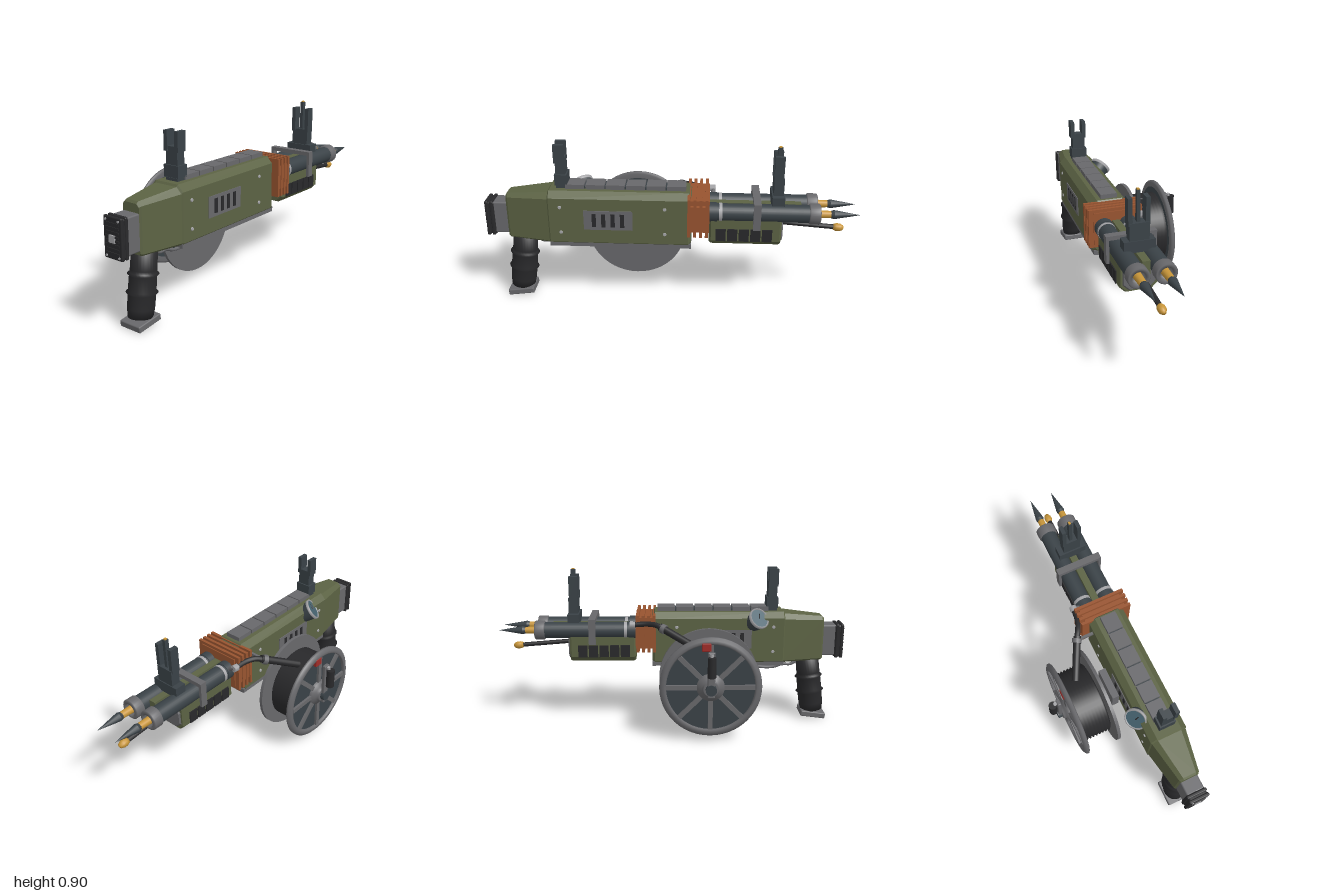
import * as THREE from 'three';
import { RoundedBoxGeometry } from 'three/addons/geometries/RoundedBoxGeometry.js';

const GREEN = 0x5c6344, DARK = 0x3a4247, GREY = 0x68686b, BLACK = 0x29292b, COPPER = 0x985430,
  GOLD = 0xc8963a, LIGHT = 0xa5a5a8, GLASS = 0x44606c, RED = 0xa02c28;
const CX = 0.17; // centre line of the gun
const V = (x, y, z) => new THREE.Vector3(x, y, z);

export function createModel() {
  const model = new THREE.Group();
  const mats = {};
  const mat = (color, flat = false) => {
    const key = color + (flat ? 'f' : 's');
    return (mats[key] ??= new THREE.MeshStandardMaterial({ color, flatShading: flat, side: THREE.DoubleSide }));
  };
  const add = (name, geo, color, parent = model, flat = false) => {
    const m = new THREE.Mesh(geo, mat(color, flat));
    m.name = name;
    parent.add(m);
    return m;
  };
  // box given by its ranges
  const box = (name, color, x0, x1, y0, y1, z0, z1, round = 0, parent = model) => {
    const w = x1 - x0, h = y1 - y0, d = z1 - z0;
    const g = round ? new RoundedBoxGeometry(w, h, d, 2, round) : new THREE.BoxGeometry(w, h, d);
    const m = add(name, g, color, parent);
    m.position.set((x0 + x1) / 2, (y0 + y1) / 2, (z0 + z1) / 2);
    return m;
  };
  // cylinder or cone between two points
  const rod = (name, color, a, b, ra, rb = ra, sides = 24, parent = model) => {
    const dir = b.clone().sub(a);
    const m = add(name, new THREE.CylinderGeometry(rb, ra, dir.length(), sides), color, parent);
    m.position.copy(a).lerp(b, 0.5);
    m.quaternion.setFromUnitVectors(V(0, 1, 0), dir.normalize());
    return m;
  };
  // lathe with its axis from a towards b; profile is [radius, distance]
  const turned = (name, color, a, b, profile, parent = model, sides = 28, flat = false) => {
    const m = add(name, new THREE.LatheGeometry(profile.map(p => new THREE.Vector2(...p)), sides), color, parent, flat);
    m.position.copy(a);
    m.quaternion.setFromUnitVectors(V(0, 1, 0), b.clone().sub(a).normalize());
    return m;
  };
  // chamfered sections [z, halfWidth, y0, y1, bottomChamfer, topChamfer], from high z to low z
  const loft = (name, color, sections) => {
    const rings = sections.map(([z, w, a, b, c, t]) =>
      [[-w + c, a], [w - c, a], [w, a + c], [w, b - t], [w - t, b], [t - w, b], [-w, b - t], [-w, a + c]]
        .map(([x, y]) => [CX + x, y, z]));
    const p = [];
    for (let i = 0; i + 1 < rings.length; i++) for (let j = 0; j < 8; j++) {
      const k = (j + 1) % 8, A = rings[i], B = rings[i + 1];
      p.push(...A[j], ...B[j], ...B[k], ...A[j], ...B[k], ...A[k]);
    }
    const last = rings[rings.length - 1];
    for (let j = 1; j < 7; j++) {
      p.push(...rings[0][0], ...rings[0][j], ...rings[0][j + 1]);
      p.push(...last[0], ...last[j + 1], ...last[j]);
    }
    const g = new THREE.BufferGeometry();
    g.setAttribute('position', new THREE.Float32BufferAttribute(p, 3));
    g.computeVertexNormals();
    return add(name, g, color, model, true);
  };

  // Receiver and tapered rear
  loft('receiver', GREEN, [[0.645, 0.095, 0.365, 0.645, 0.01, 0.03], [0.635, 0.103, 0.36, 0.658, 0.012, 0.033],
    [-0.105, 0.103, 0.36, 0.658, 0.012, 0.033], [-0.12, 0.09, 0.375, 0.64, 0.012, 0.03]]);
  loft('rearTaper', GREEN, [[0.875, 0.05, 0.372, 0.615, 0.008, 0.015], [0.865, 0.057, 0.366, 0.625, 0.01, 0.02],
    [0.64, 0.098, 0.362, 0.648, 0.012, 0.03]]);
  box('lowerRail', GREY, CX - 0.085, CX + 0.085, 0.343, 0.365, -0.12, 0.63);
  for (const s of [-1, 1]) {
    box('bottomStrip', GREY, CX + s * 0.09 - 0.008, CX + s * 0.09 + 0.008, 0.345, 0.372, -0.12, 0.64);
    const X = CX + s * 0.103;
    box('ventPanel', GREY, X - 0.004, X + 0.004, 0.45, 0.56, 0.19, 0.45);
    for (let i = 0; i < 4; i++) {
      const z = 0.245 + i * 0.05;
      box('ventSlot', BLACK, X - 0.006, X + 0.006, 0.467, 0.543, z - 0.011, z + 0.011);
    }
    for (const z of [0.02, 0.575]) for (const y of [0.43, 0.575])
      rod('rivet', LIGHT, V(X, y, z), V(X + s * 0.005, y, z), 0.01, 0.008, 10);
  }

  // Top rail
  box('topRail', DARK, CX - 0.038, CX + 0.038, 0.65, 0.672, -0.085, 0.6);
  for (let i = 0; i < 6; i++)
    box('railPlate', GREY, CX - 0.045, CX + 0.045, 0.655, 0.682, -0.09 + i * 0.108, 0.01 + i * 0.108);

  // Butt pad
  box('buttBlock', GREY, CX - 0.05, CX + 0.05, 0.39, 0.572, 0.865, 0.95, 0.008);
  box('buttPad', BLACK, CX - 0.052, CX + 0.052, 0.382, 0.572, 0.94, 0.99, 0.01);
  for (const z of [0.957, 0.984]) box('padRib', BLACK, CX - 0.057, CX + 0.057, 0.377, 0.578, z - 0.009, z + 0.009, 0.006);
  for (let i = 0; i < 8; i++)
    box('padTread', BLACK, CX - 0.042, CX + 0.042, 0.402 + i * 0.02, 0.412 + i * 0.02, 0.985, 0.997);
  box('padButton', LIGHT, CX - 0.018, CX + 0.018, 0.458, 0.494, 0.985, 1);
  for (const x of [-0.04, 0.04]) for (const y of [0.392, 0.563])
    rod('padScrew', LIGHT, V(CX + x, y, 0.985), V(CX + x, y, 0.997), 0.006, 0.006, 8);

  // Pistol grip
  const gripTop = V(CX, 0.375, 0.795), gripEnd = V(CX, 0.025, 0.84);
  const grip = turned('grip', BLACK, gripTop, gripEnd, [[0, 0], [0.06, 0], [0.061, 0.1], [0.063, 0.115], [0.072, 0.122],
    [0.063, 0.13], [0.064, 0.205], [0.073, 0.213], [0.064, 0.221], [0.063, 0.29], [0.058, 0.335], [0, 0.335]]);
  grip.scale.z = 1.12;
  const base = box('gripBase', GREY, CX - 0.065, CX + 0.065, 0.007, 0.04, 0.765, 0.912, 0.006);
  base.rotation.x = 0.13;

  // Trigger and guard
  const guard = new THREE.CatmullRomCurve3([V(CX, 0.35, 0.74), V(CX, 0.325, 0.7), V(CX, 0.325, 0.65),
    V(CX, 0.308, 0.6), V(CX, 0.308, 0.52), V(CX, 0.325, 0.46), V(CX, 0.355, 0.44)]);
  add('triggerGuard', new THREE.TubeGeometry(guard, 30, 0.009, 8), GREY);
  rod('trigger', DARK, V(CX, 0.36, 0.61), V(CX, 0.318, 0.595), 0.01, 0.006, 10);

  // Copper heat sleeve
  box('sleeveCore', COPPER, CX - 0.12, CX + 0.12, 0.455, 0.635, -0.215, -0.1);
  for (let i = 0; i < 4; i++) {
    const z = -0.108 - i * 0.031;
    box('sleeveFin', COPPER, CX - 0.146, CX + 0.146, 0.438, 0.652, z - 0.008, z + 0.008);
  }
  for (const s of [-1, 1]) box('sleeveBar', COPPER, CX + s * 0.13 - 0.012, CX + s * 0.13 + 0.012, 0.48, 0.61, -0.205, -0.1);

  // Twin barrels with spikes
  for (const s of [-1, 1]) {
    const g = new THREE.Group();
    g.name = 'barrel';
    g.position.set(CX + s * 0.067, 0.553, 0);
    model.add(g);
    const at = z => V(0, 0, z);
    rod('tube', DARK, at(-0.2), at(-0.74), 0.047, 0.047, 28, g);
    rod('band', LIGHT, at(-0.265), at(-0.282), 0.049, 0.049, 28, g);
    rod('collar', DARK, at(-0.21), at(-0.255), 0.051, 0.051, 28, g);
    turned('muzzle', GREY, at(-0.735), at(-1), [[0.047, 0], [0.055, 0.005], [0.055, 0.053], [0.05, 0.058],
      [0.034, 0.058], [0.034, 0.02], [0, 0.02]], g);
    rod('shaft', GOLD, at(-0.75), at(-0.85), 0.022, 0.019, 16, g);
    rod('spikeBase', DARK, at(-0.848), at(-0.865), 0.019, 0.024, 12, g);
    rod('spike', DARK, at(-0.865), at(-1), 0.024, 0.0005, 12, g);
  }
  box('barrelBridge', GREEN, CX - 0.02, CX + 0.02, 0.5, 0.585, -0.7, -0.2);

  // Barrel clamp
  for (const s of [-1, 1]) box('clampSide', GREY, CX + s * 0.124 - 0.008, CX + s * 0.124 + 0.008, 0.48, 0.625, -0.482, -0.443);
  box('clampTop', GREY, CX - 0.132, CX + 0.132, 0.605, 0.627, -0.482, -0.443);

  // Fore-end below the barrels
  loft('foreEnd', GREEN, [[-0.215, 0.09, 0.375, 0.52, 0.03, 0.01], [-0.225, 0.1, 0.37, 0.53, 0.03, 0.01],
    [-0.585, 0.1, 0.37, 0.53, 0.03, 0.01], [-0.595, 0.095, 0.375, 0.52, 0.03, 0.01]]);
  loft('foreEndCap', GREY, [[-0.59, 0.088, 0.38, 0.51, 0.03, 0.02], [-0.604, 0.08, 0.388, 0.502, 0.03, 0.02]]);
  for (const s of [-1, 1]) {
    const X = CX + s * 0.1;
    for (let i = 0; i < 5; i++)
      box('foreEndGripPad', BLACK, X - 0.006, X + 0.006, 0.4, 0.47, -0.303 - i * 0.061, -0.25 - i * 0.061);
  }
  // Igniter below the muzzles
  rod('igniterRod', BLACK, V(CX, 0.472, -0.59), V(CX, 0.448, -0.89), 0.013, 0.013, 12);
  turned('igniterTip', GOLD, V(CX, 0.449, -0.88), V(CX, 0.439, -0.99),
    [[0, 0], [0.015, 0], [0.021, 0.015], [0.021, 0.035], [0.013, 0.053], [0, 0.058]], model, 14);

  // Sights
  box('rearSightFoot', DARK, CX - 0.045, CX + 0.045, 0.675, 0.735, 0.54, 0.605);
  box('rearSightBlock', DARK, CX - 0.036, CX + 0.036, 0.73, 0.825, 0.548, 0.598);
  for (const s of [-1, 1]) box('rearSightProng', DARK, CX + s * 0.034 - 0.011, CX + s * 0.034 + 0.011, 0.8, 0.9, 0.548, 0.603);
  box('frontSightSaddle', DARK, CX - 0.08, CX + 0.08, 0.585, 0.645, -0.605, -0.54);
  box('frontSightFoot', DARK, CX - 0.05, CX + 0.05, 0.64, 0.735, -0.6, -0.548);
  for (const s of [-1, 1]) box('frontSightProng', DARK, CX + s * 0.044 - 0.011, CX + s * 0.044 + 0.011, 0.72, 0.86, -0.595, -0.545);
  box('frontSightPost', DARK, CX - 0.009, CX + 0.009, 0.72, 0.895, -0.585, -0.56);
  box('frontSightBead', GOLD, CX - 0.006, CX + 0.006, 0.89, 0.901, -0.58, -0.565);

  // Tilted gauge on the side
  const gn = V(-0.68, 0.58, 0.44).normalize(), gc = V(0.05, 0.632, 0.49);
  const along = d => gc.clone().addScaledVector(gn, d);
  rod('gaugeBody', DARK, along(-0.075), along(-0.005), 0.048, 0.058, 28);
  turned('gaugeRim', LIGHT, along(-0.014), along(1), [[0.056, 0], [0.062, 0], [0.062, 0.015], [0.054, 0.015], [0.054, 0.005]]);
  rod('gaugeGlass', GLASS, along(-0.01), along(-0.003), 0.056, 0.056, 28);
  rod('gaugeNeedle', BLACK, along(-0.001), along(0).add(V(0.018, 0.023, 0)), 0.004, 0.002, 6);

  // Fuel reel
  const reel = new THREE.Group();
  reel.name = 'reel';
  reel.position.set(0, 0.31, 0.2);
  model.add(reel);
  const R = (x, y = 0, z = 0) => V(x, y, z);
  rod('innerFlange', GREY, R(-0.03), R(-0.012), 0.28, 0.28, 48, reel);
  const wound = [[0, 0], [0.195, 0]];
  for (let i = 0; i < 9; i++) wound.push([0.21, 0.005 + i * 0.0195], [0.199, 0.0148 + i * 0.0195]);
  wound.push([0, 0.181]);
  turned('woundHose', BLACK, R(-0.207), R(0), wound, reel, 48);
  rod('outerPlate', DARK, R(-0.212), R(-0.202), 0.265, 0.265, 48, reel);
  turned('outerRim', GREY, R(-0.23), R(0), [[0.243, 0.018], [0.243, 0.003], [0.25, 0], [0.264, 0], [0.28, 0.012],
    [0.28, 0.024], [0.268, 0.03], [0.243, 0.03]], reel, 48);
  for (let i = 0; i < 8; i++) {
    const a = i * Math.PI / 4, spoke = new THREE.Group();
    spoke.rotation.x = a;
    spoke.name = 'spoke';
    reel.add(spoke);
    box('spokeBar', GREY, -0.226, -0.208, 0.04, 0.25, -0.013, 0.013, 0, spoke);
  }
  turned('outerHub', GREY, R(-0.256), R(0), [[0, 0], [0.04, 0], [0.044, 0.005], [0.05, 0.02], [0.075, 0.028], [0.078, 0.05]], reel);
  box('reelMarker', RED, -0.233, -0.21, 0.205, 0.25, -0.05, 0, 0.004, reel);

  // Crank
  box('crankArm', GREY, -0.274, -0.252, -0.045, 0.21, -0.02, 0.02, 0.006, reel);
  rod('crankBoss', DARK, R(-0.28), R(-0.25), 0.03, 0.03, 18, reel);
  rod('crankHandle', BLACK, R(-0.297, 0.08), R(-0.297, 0.19), 0.023, 0.023, 18, reel);
  rod('crankPin', LIGHT, R(-0.283, 0.185), R(-0.283, 0.204), 0.01, 0.01, 12, reel);

  // Reel mount
  rod('axle', GREY, R(-0.015), R(0.035), 0.034, 0.034, 20, reel);
  rod('axleFlange', GREY, R(-0.014), R(0.002), 0.07, 0.055, 24, reel);
  box('mountPlate', GREY, 0.025, 0.066, 0.3, 0.44, 0.11, 0.29);
  box('mountFoot', DARK, -0.01, 0.062, 0.282, 0.31, 0.16, 0.24);
  box('mountBrace', GREY, 0.06, 0.11, 0.31, 0.35, 0.12, 0.28);

  // Feed hose from reel to sleeve
  rod('feedHose', BLACK, V(-0.125, 0.505, 0.125), V(-0.02, 0.6, -0.075), 0.021, 0.021, 16);
  rod('hoseCollar', GREY, V(-0.038, 0.586, -0.045), V(-0.026, 0.594, -0.065), 0.027, 0.027, 16);
  const feed = new THREE.CatmullRomCurve3([V(-0.025, 0.597, -0.07), V(-0.005, 0.607, -0.1), V(0.018, 0.607, -0.15), V(0.03, 0.6, -0.23)]);
  add('feedPipe', new THREE.TubeGeometry(feed, 16, 0.015, 12), BLACK);
  rod('feedNut', LIGHT, V(0.028, 0.6, -0.215), V(0.03, 0.6, -0.245), 0.021, 0.021, 6);
  rod('feedElbow', GREY, V(0.03, 0.6, -0.235), V(0.075, 0.575, -0.235), 0.012, 0.012, 12);
  box('feedClip', GREY, -0.01, 0.07, 0.58, 0.595, -0.065, -0.05);

  return model;
}
